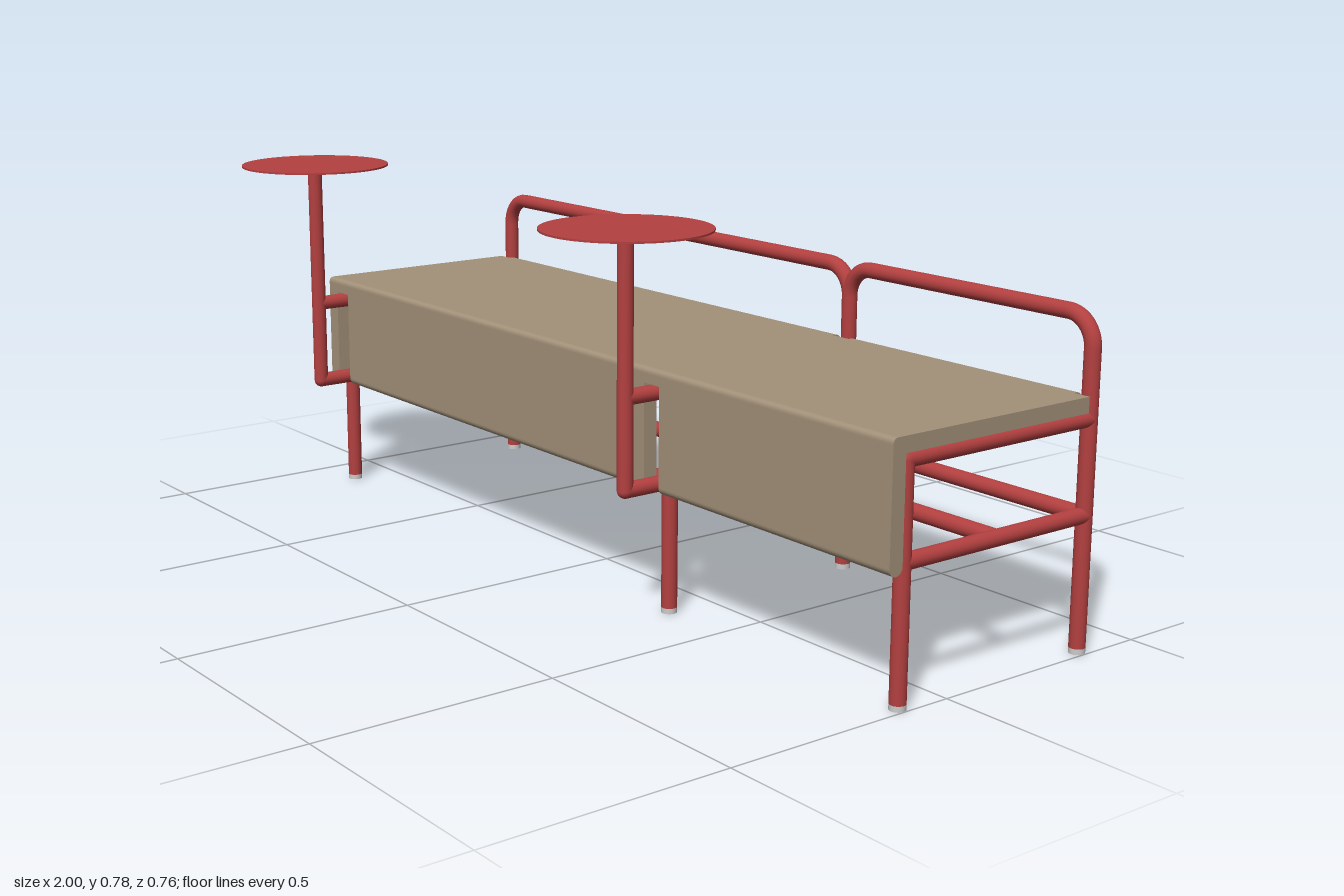
import * as THREE from 'three';

const R = 0.016;                      // tube radius
const FRONT = 0.105, BACK = -0.364;   // leg rows in z
const LOW = 0.269, HIGH = 0.453, TOP = 0.645;
const FRAMES = [-0.88, 0.345, 0.983]; // leg frames along x
const POLES = [-0.835, 0.345];
const POLE_Z = 0.216, CAP = 0.011;

const red = new THREE.MeshStandardMaterial({ color: 0xb34040 });
const tan = new THREE.MeshStandardMaterial({ color: 0xa39179 });
const grey = new THREE.MeshStandardMaterial({ color: 0xcccccc });
const V = (x, y, z) => new THREE.Vector3(x, y, z);

// Polyline path with rounded corners of the given radius
function roundedPath(points, radius) {
  const path = new THREE.CurvePath();
  let last = points[0];
  for (let i = 1; i < points.length - 1; i++) {
    const p = points[i];
    const a = p.clone().add(points[i - 1].clone().sub(p).setLength(radius));
    const b = p.clone().add(points[i + 1].clone().sub(p).setLength(radius));
    const k = 0.5523;
    path.add(new THREE.LineCurve3(last, a));
    path.add(new THREE.CubicBezierCurve3(a, a.clone().lerp(p, k), b.clone().lerp(p, k), b));
    last = b;
  }
  path.add(new THREE.LineCurve3(last, points[points.length - 1]));
  return path;
}

export function createModel() {
  const model = new THREE.Group();
  model.name = 'benchWithTables';

  const add = (name, geometry, material, x = 0, y = 0, z = 0) => {
    const mesh = new THREE.Mesh(geometry, material);
    mesh.name = name;
    mesh.position.set(x, y, z);
    model.add(mesh);
    return mesh;
  };
  // Straight tube between two points
  const bar = (name, a, b) => {
    const d = b.clone().sub(a);
    const mesh = add(name, new THREE.CylinderGeometry(R, R, d.length(), 20), red);
    mesh.position.copy(a).lerp(b, 0.5);
    mesh.quaternion.setFromUnitVectors(V(0, 1, 0), d.normalize());
  };
  const elbow = (name, x, y, z) => add(name, new THREE.SphereGeometry(R, 20, 12), red, x, y, z);

  // Leg frames: legs, feet and cross bars
  for (const x of FRAMES) {
    bar('frontLeg', V(x, CAP, FRONT), V(x, HIGH, FRONT));
    elbow('frontLegElbow', x, HIGH, FRONT);
    bar('backLeg', V(x, CAP, BACK), V(x, TOP - 0.06, BACK));
    for (const y of [LOW, HIGH]) bar('crossBar', V(x, y, FRONT), V(x, y, BACK));
    for (const z of [FRONT, BACK])
      add('foot', new THREE.CylinderGeometry(R, R, CAP, 20), grey, x, CAP / 2, z);
  }

  // Long rails between the frames
  const [x0, x1, x2] = FRAMES;
  for (const z of [FRONT, BACK]) bar('upperRail', V(x0, HIGH, z), V(x2, HIGH, z));
  for (const z of [FRONT, (FRONT + BACK) / 2, BACK]) bar('lowerRail', V(x0, LOW, z), V(x2, LOW, z));

  // Back rails, one hoop per bay
  for (const [a, b] of [[x0, x1], [x1, x2]]) {
    const y = TOP - 0.062;
    const path = roundedPath([V(a, y, BACK), V(a, TOP, BACK), V(b, TOP, BACK), V(b, y, BACK)], 0.06);
    add('backRail', new THREE.TubeGeometry(path, 120, R, 20), red);
  }

  // Small round tables on poles in front of the bench
  for (const x of POLES) {
    bar('tablePole', V(x, LOW, POLE_Z), V(x, 0.776, POLE_Z));
    elbow('tablePoleElbow', x, LOW, POLE_Z);
    for (const y of [LOW, HIGH]) bar('poleBracket', V(x, y, POLE_Z), V(x, y, FRONT));
    add('tableTop', new THREE.CylinderGeometry(0.167, 0.167, 0.004, 64), red, x, 0.778, POLE_Z - 0.002);
  }

  // Seat board with a front apron: side profile swept along x
  const T = 0.5, B = 0.469, F = 0.152, r = (T - B) / 2;
  const seatProfile = (apron, notch) => {
    const s = new THREE.Shape();        // profile x = -z, y = y
    s.moveTo(-F + 0.012, T);
    s.quadraticCurveTo(-F, T, -F, T - 0.012);
    if (apron) {
      s.lineTo(-F, 0.253 + r);
      s.absarc(-F + r, 0.253 + r, r, Math.PI, 2 * Math.PI, false);
      s.lineTo(-F + 2 * r, B);
    } else {
      s.lineTo(-F, B);
    }
    if (notch) {
      s.lineTo(0.342, B);
      s.lineTo(0.342, T);
    } else {
      s.lineTo(0.35, B);
      s.absarc(0.35, B + r, r, -Math.PI / 2, Math.PI / 2, false);
    }
    s.closePath();
    return s;
  };
  // [start, end, has apron, notched around a back leg]
  const strips = [
    [-0.895, -0.86, true, true], [-0.86, -0.81, false, false], [-0.81, 0.322, true, false],
    [0.322, 0.368, false, true], [0.368, 0.963, true, false], [0.963, 1.0, true, true],
  ];
  for (const [a, b, apron, notch] of strips) {
    const geometry = new THREE.ExtrudeGeometry(seatProfile(apron, notch),
      { depth: b - a, bevelEnabled: false, curveSegments: 10 });
    geometry.rotateY(Math.PI / 2);
    add('seat', geometry, tan, a, 0, 0);
  }
  return model;
}
